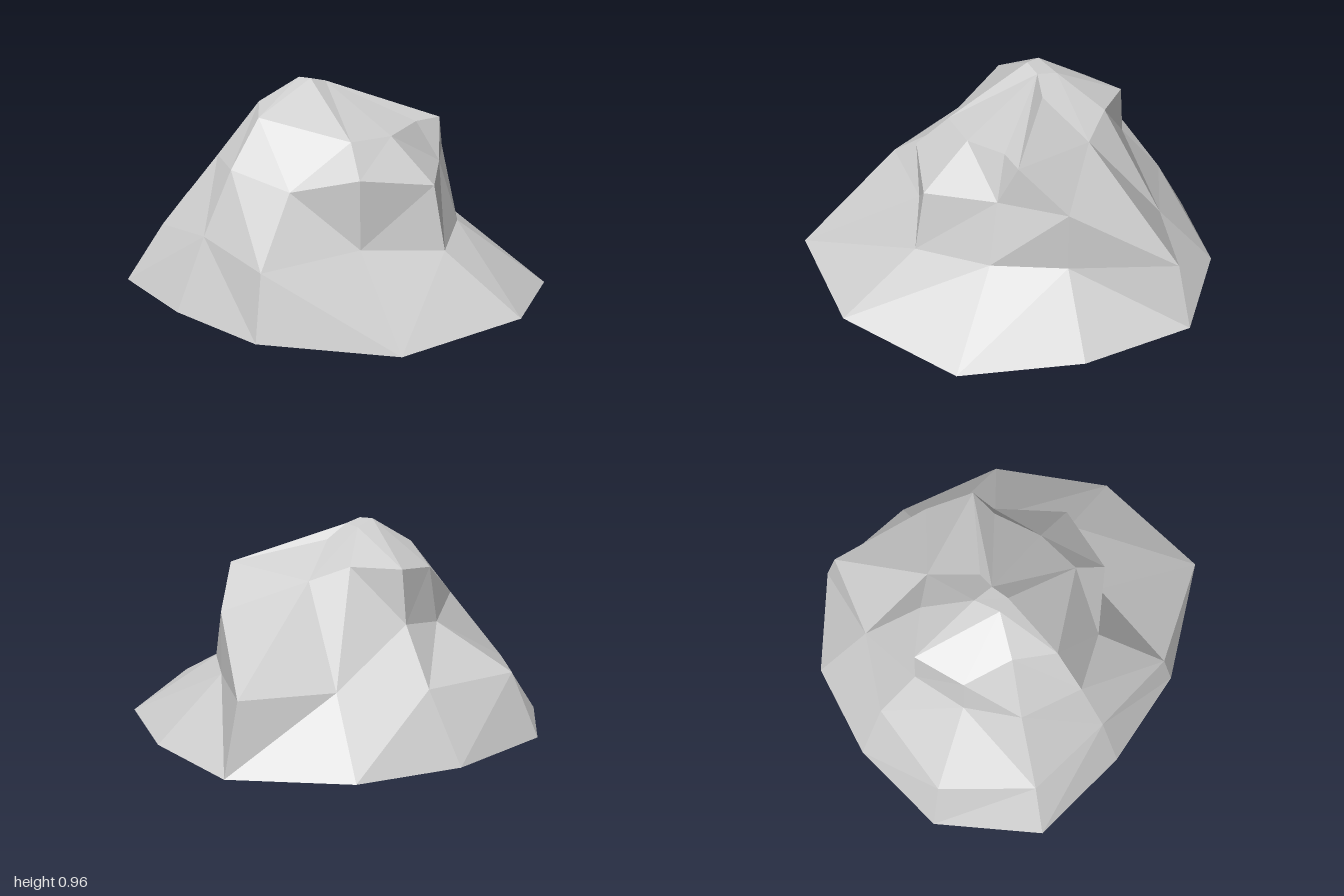
import * as THREE from 'three';

const v = (x, y, z) => new THREE.Vector3(x, y, z);

// Outer rim on the ground, going clockwise seen from above
const rim = {
  back: v(-0.245, 0, -0.905), backLeft: v(0.28, 0, -0.79), leftBack: v(0.77, 0, -0.51),
  left: v(1, 0.05, 0.06), leftFront: v(0.87, 0.05, 0.69), frontLeft: v(0.28, 0, 0.9),
  front: v(-0.23, 0, 0.89), frontRight: v(-0.74, 0, 0.78), right: v(-1, 0.02, 0.32),
  rightBack: v(-0.91, 0, -0.18), backRight: v(-0.69, 0, -0.61),
};
// Left fold: foot and crest of its step, and where it runs out at the front
const leftFoot = [rim.back, v(0.155, 0.29, -0.51), v(0.42, 0.29, -0.28), v(0.6, 0.26, 0.06), v(0.38, 0.29, 0.37)];
const leftCrest = [v(-0.235, 0.305, -0.81), v(0.155, 0.575, -0.505), v(0.34, 0.575, -0.235), v(0.535, 0.545, 0.06), v(0.375, 0.595, 0.37)];
const leftTip = v(0.1, 0.525, 0.515);
// Front ridge
const ridgeLow = v(0.245, 0.275, 0.83), ridgeMid = v(-0.185, 0.595, 0.595), ridgeTop = v(-0.165, 0.81, 0.44);
const frontMid = v(-0.2, 0.32, 0.75), frontHigh = v(-0.31, 0.85, 0.3);
// Right fold: foot and crest, curling round the back
const rightFoot = [v(-0.62, 0.27, 0.65), v(-0.535, 0.51, 0.19), v(-0.545, 0.54, -0.07)];
const rightCrest = [v(-0.445, 0.6, 0.445), v(-0.5, 0.76, 0.175), v(-0.52, 0.78, -0.07)];
const curl = [v(-0.32, 0.785, -0.18), v(-0.155, 0.715, -0.265), v(-0.07, 0.87, -0.03)];
// Low ring on the right and back
const ringRight = v(-0.88, 0.31, 0.28), ringRightBack = v(-0.73, 0.3, -0.16), ringBack = v(-0.46, 0.3, -0.45);
// Shoulder ring and peak
const shoulder = [v(0.28, 0.765, -0.31), v(0.25, 0.76, -0.17), v(0.29, 0.73, 0.06), v(0.245, 0.73, 0.28)];
const peak = [v(-0.2, 0.93, 0.03), v(-0.19, 0.96, 0.155), v(-0.12, 0.96, 0.15), v(-0.11, 0.94, 0.06)];

// Triangles between a lower and an upper line of points, both clockwise from above
function loft(low, up) {
  const tris = [];
  for (let i = 0; i + 1 < low.length; i++) {
    tris.push([low[i + 1], low[i], up[i]], [low[i + 1], up[i], up[i + 1]]);
  }
  return tris;
}

// Triangles from a centre to a clockwise line of points
function fan(c, ring) {
  return ring.slice(1).map((p, i) => [c, p, ring[i]]);
}

export function createModel() {
  const group = new THREE.Group();
  group.name = 'swirledMound';
  const grey = new THREE.MeshStandardMaterial({ color: 0xcccccc, flatShading: true, side: THREE.DoubleSide });
  grey.name = 'light grey';

  function add(name, ...parts) {
    const tris = parts.flat().filter(([a, b, c]) => a !== b && b !== c && c !== a);
    const geometry = new THREE.BufferGeometry().setFromPoints(tris.flat());
    geometry.computeVertexNormals();
    const mesh = new THREE.Mesh(geometry, grey);
    mesh.name = name;
    group.add(mesh);
  }

  const [d2, p1, p2, p3, p4] = leftCrest;
  const [n1, l1, u2l] = rightFoot;
  const [n2, u1, u2] = rightCrest;
  const [w1, w2, w3] = curl;
  const [s, v1, v2, x1] = shoulder;
  const [q1, q2, q3, q4] = peak;

  // Sloping skirt on the left, up to the foot of the left fold and the front ridge
  add('leftSkirt',
    loft([rim.back, rim.backLeft, rim.leftBack, rim.left, rim.leftFront, rim.leftFront], [...leftFoot, ridgeLow]),
    fan(ridgeLow, [ridgeMid, leftTip, leftFoot[4]]));

  // Steep step of the left fold
  add('leftFoldStep', loft([...leftFoot, leftFoot[4]], [...leftCrest, leftTip]));

  // Surface from the left fold up to the shoulder
  add('leftShoulder', loft([p1, p2, p2, p3, p4, leftTip, ridgeMid], [s, v1, v2, v2, x1, ridgeTop, ridgeTop]));

  // Steep front
  add('frontFace',
    [[rim.frontLeft, rim.leftFront, ridgeLow]],
    fan(frontMid, [rim.frontLeft, rim.front, rim.frontRight, n1, n2, ridgeMid, ridgeLow, rim.frontLeft]),
    fan(frontHigh, [ridgeTop, ridgeMid, n2, u1, q2, ridgeTop]));

  // Skirt on the right and back
  add('rightSkirt',
    loft([rim.frontRight, rim.right, rim.rightBack, rim.backRight, rim.back], [n1, ringRight, ringRightBack, ringBack, d2]),
    loft([n1, ringRight, ringRightBack], rightFoot));

  // Step of the right fold
  add('rightFoldStep', loft([...rightFoot, w1], [...rightCrest, w1]));

  // Tall back surface running in under the curl
  add('backFace', loft([ringRightBack, ringBack, ringBack, ringBack, d2, p1, s], [u2l, u2l, w1, w2, w2, w2, w3]));

  // Crown and peak
  add('crown',
    loft([w3, s, v1, v2, x1, ridgeTop], [q4, q4, q4, q4, q3, q2]),
    loft([u1, u2], [q2, q1]),
    loft([u2, w1, w2, w3, q4], [q1, q1, q1, q1, q1]),
    fan(q1, [q4, q3, q2]));

  return group;
}
